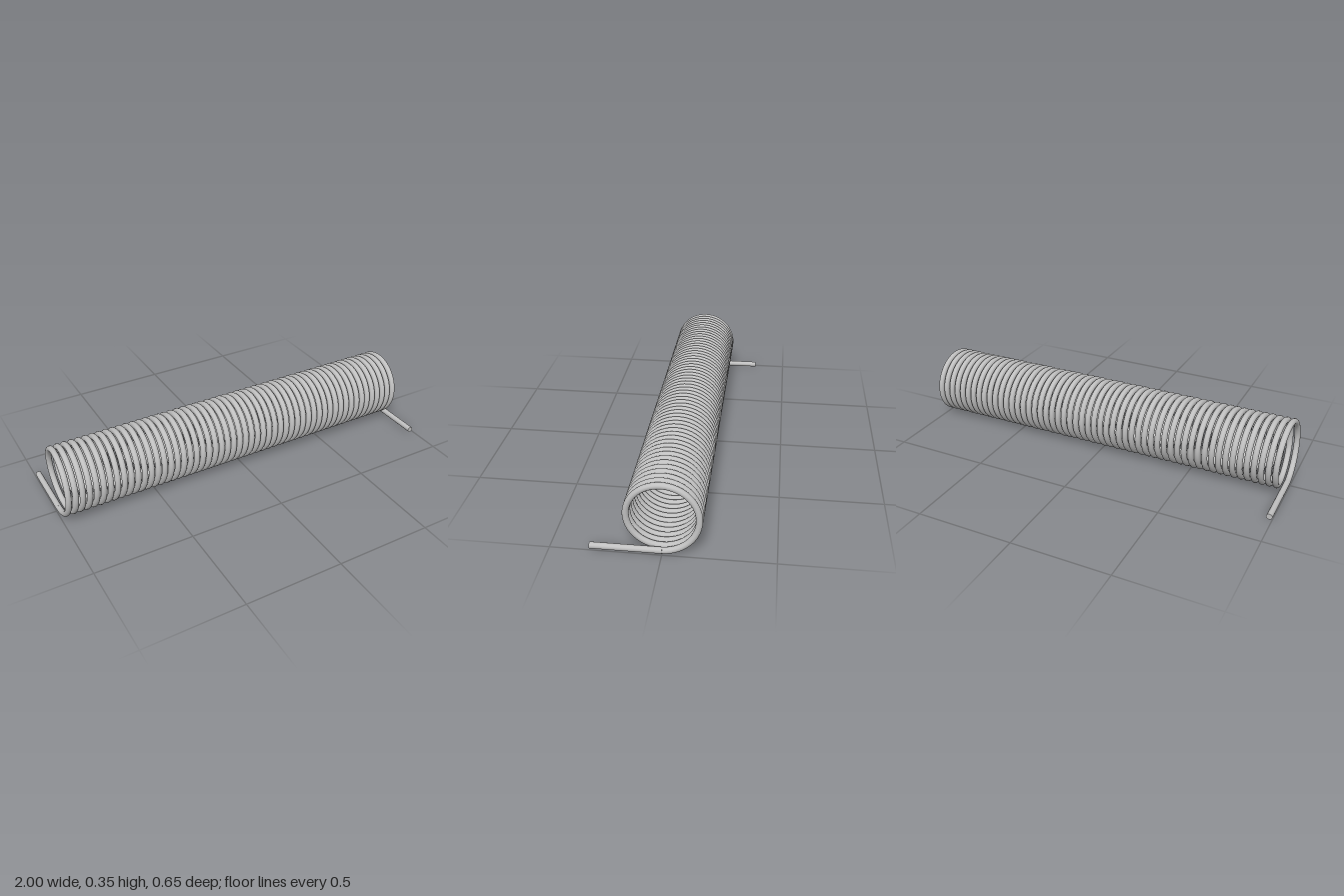
import * as THREE from 'three';

const WIRE = 0.015;      // wire radius
const R = 0.162;         // mean coil radius
const END = 0.985;       // x of the two wire ends
const TURNS = 55;
const LEG = 0.323;       // straight leg length
const AXIS_Y = R + WIRE;

// Helix along x, starting and ending at the bottom, evenly parameterised
class Helix extends THREE.Curve {
  getPoint(t, target = new THREE.Vector3()) {
    const a = t * TURNS * Math.PI * 2;
    return target.set(END - 2 * END * t, AXIS_Y - R * Math.cos(a), -R * Math.sin(a));
  }
  getTangent(t, target = new THREE.Vector3()) {
    const w = TURNS * Math.PI * 2, a = t * w;
    return target.set(-2 * END, R * w * Math.sin(a), -R * w * Math.cos(a)).normalize();
  }
  getPointAt(u, target) { return this.getPoint(u, target); }
  getTangentAt(u, target) { return this.getTangent(u, target); }
}

export function createModel() {
  const group = new THREE.Group();
  group.name = 'torsionSpring';

  const steel = new THREE.MeshStandardMaterial({ color: 0xc0c0c0 });
  steel.name = 'steel';

  // Close-wound coil
  const coil = new THREE.Mesh(new THREE.TubeGeometry(new Helix(), TURNS * 56, WIRE, 16), steel);
  coil.name = 'coil';
  group.add(coil);

  // Straight tangent legs, one forward on the left, one backward on the right
  for (const [side, name] of [[1, 'leftLeg'], [-1, 'rightLeg']]) {
    const leg = new THREE.Mesh(new THREE.CylinderGeometry(WIRE, WIRE, LEG, 24), steel);
    leg.rotation.x = Math.PI / 2;
    leg.position.set(side * END, WIRE, side * LEG / 2);
    leg.name = name;
    group.add(leg);
  }
  return group;
}
